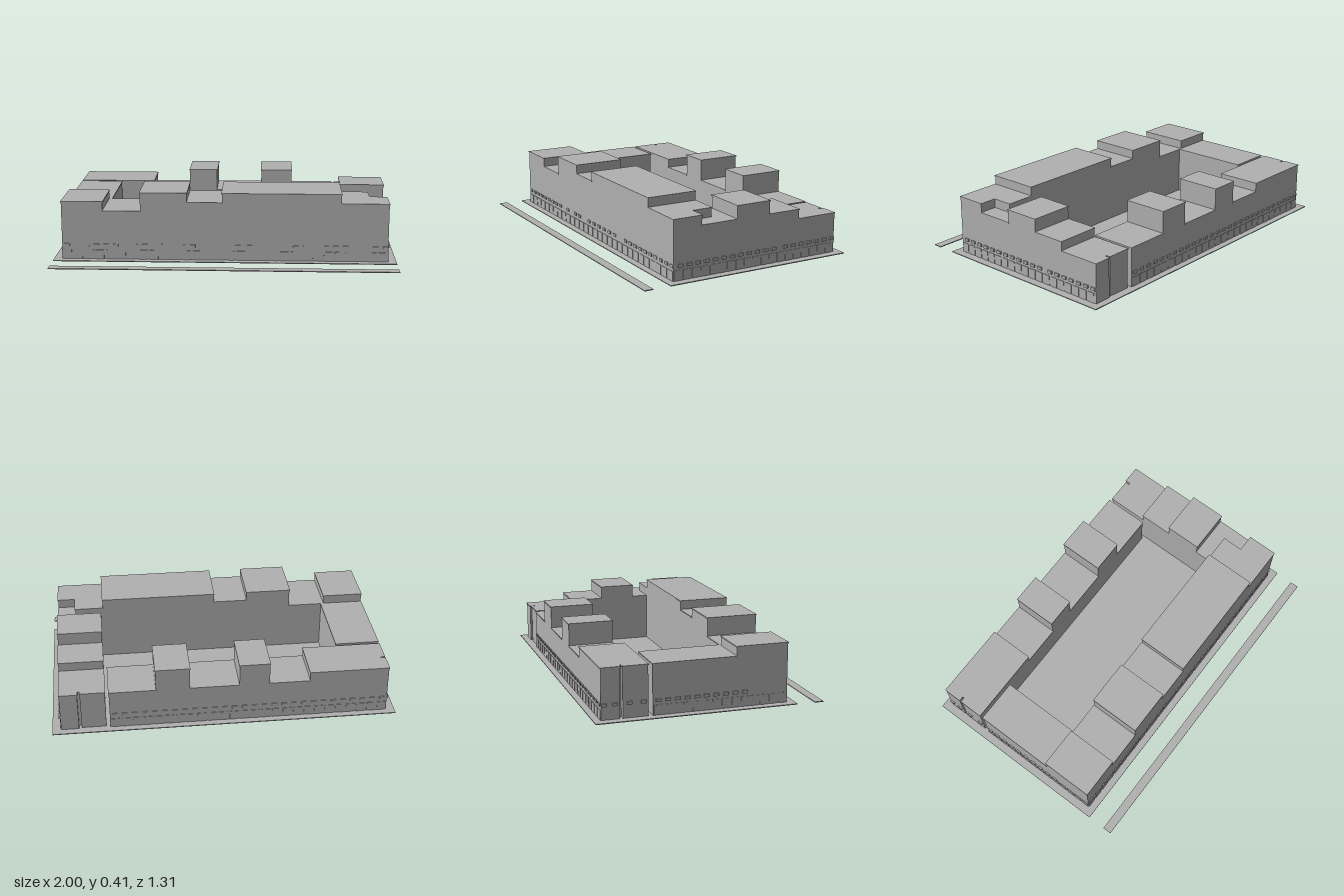
import * as THREE from 'three';

export function createModel() {
  const model = new THREE.Group();
  const grey = new THREE.MeshStandardMaterial({ color: 0xb0b0b0 });
  grey.name = 'plain grey';

  // Box given by its limits on each axis
  function box(name, x0, x1, y0, y1, z0, z1, parent = model) {
    const mesh = new THREE.Mesh(new THREE.BoxGeometry(x1 - x0, y1 - y0, z1 - z0), grey);
    mesh.position.set((x0 + x1) / 2, (y0 + y1) / 2, (z0 + z1) / 2);
    mesh.name = name;
    parent.add(mesh);
  }

  // Building section with a slightly overhanging roof slab
  function section(name, x0, x1, z0, z1, h) {
    const g = new THREE.Group();
    g.name = name;
    box('walls', x0, x1, 0.005, h - 0.007, z0, z1, g);
    const o = 0.003;
    box('roofSlab', x0 - o, x1 + o, h - 0.007, h, z0 - o, z1 + o, g);
    model.add(g);
  }

  // Paving
  box('groundSlab', -1, 1, 0, 0.005, -0.66, 0.497);
  box('streetStrip', -1, 1, 0, 0.005, 0.603, 0.655);

  // Front row: x start, x end, height
  [[-0.95, -0.71, 0.35], [-0.71, -0.49, 0.295], [-0.49, -0.22, 0.405],
    [-0.22, -0.015, 0.35], [-0.015, 0.675, 0.405], [0.675, 0.845, 0.35]]
    .forEach(([a, b, h]) => section('frontSection', a, b, 0.15, 0.453, h));
  section('frontCorner', 0.845, 0.95, 0.275, 0.453, 0.35);
  section('frontCornerLink', 0.845, 0.95, 0.05, 0.275, 0.295);

  // Right wing: z start, z end, height
  section('rightSection', 0.69, 0.845, 0.05, 0.15, 0.295);
  section('rightSection', 0.69, 0.95, -0.165, 0.05, 0.372);
  section('rightSection', 0.69, 0.95, -0.365, -0.165, 0.295);
  // Rear end of the right wing, with a narrow shaft in its back wall
  section('rightRear', 0.69, 0.95, -0.585, -0.365, 0.24);
  section('rightRearBay', 0.69, 0.832, -0.61, -0.585, 0.24);
  section('rightRearCorner', 0.847, 0.95, -0.618, -0.585, 0.24);

  // Left wing
  section('leftSection', -0.95, -0.695, -0.33, 0.15, 0.295);

  // Back row
  [[-0.92, -0.49, 0.295], [-0.49, -0.255, 0.24], [-0.255, -0.08, 0.372],
    [-0.08, 0.205, 0.24], [0.205, 0.4, 0.372], [0.4, 0.668, 0.24]]
    .forEach(([a, b, h]) => section('backSection', a, b, -0.618, -0.355, h));
  // Left end of the back row, with a narrow shaft
  section('backLeftCorner', -0.95, -0.92, -0.618, -0.512, 0.295);
  section('backLeftBay', -0.95, -0.92, -0.497, -0.355, 0.295);

  // Row of thin plates on a wall; axis is the direction the wall faces
  function plates(name, axis, wall, sign, centres, width, y0, y1, depth) {
    const g = new THREE.Group();
    g.name = name;
    const a = Math.min(wall, wall + sign * depth);
    const b = Math.max(wall, wall + sign * depth);
    for (const c of centres) {
      const s = c - width / 2, e = c + width / 2;
      if (axis === 'z') box('plate', s, e, y0, y1, a, b, g);
      else box('plate', a, b, y0, y1, s, e, g);
    }
    model.add(g);
  }
  const row = (start, end, n) =>
    Array.from({ length: n }, (_, i) => start + (end - start) * i / (n - 1));

  // Small upper windows
  const frontWindows = [...row(-0.92, -0.465, 9), -0.355, -0.245, -0.185,
    ...row(-0.055, 0.28, 6), ...row(0.415, 0.935, 10)];
  const rightWindows = [...row(-0.6, -0.275, 7), ...row(-0.195, 0.41, 12)];
  plates('frontWindows', 'z', 0.453, 1, frontWindows, 0.03, 0.08, 0.097, 0.006);
  plates('rightWindows', 'x', 0.95, 1, rightWindows, 0.03, 0.08, 0.097, 0.009);
  plates('backWindows', 'z', -0.618, -1, row(-0.92, 0.64, 28), 0.03, 0.08, 0.097, 0.006);
  plates('leftWindows', 'x', -0.95, -1,
    [...row(-0.6, -0.54, 2), ...row(-0.46, -0.38, 2), ...row(-0.3, 0.2, 10)],
    0.03, 0.08, 0.097, 0.009);

  // Street level shopfront panels
  plates('rightShopfronts', 'x', 0.95, 1, row(-0.58, 0.425, 19), 0.045, 0.005, 0.063, 0.003);
  plates('leftShopfronts', 'x', -0.95, -1, row(-0.3, 0.425, 14), 0.045, 0.005, 0.063, 0.003);
  plates('frontShopfronts', 'z', 0.453, 1, row(-0.92, 0.92, 30), 0.05, 0.005, 0.06, 0.003);
  plates('backShopfronts', 'z', -0.618, -1, row(-0.92, 0.635, 26), 0.05, 0.005, 0.06, 0.003);

  return model;
}
